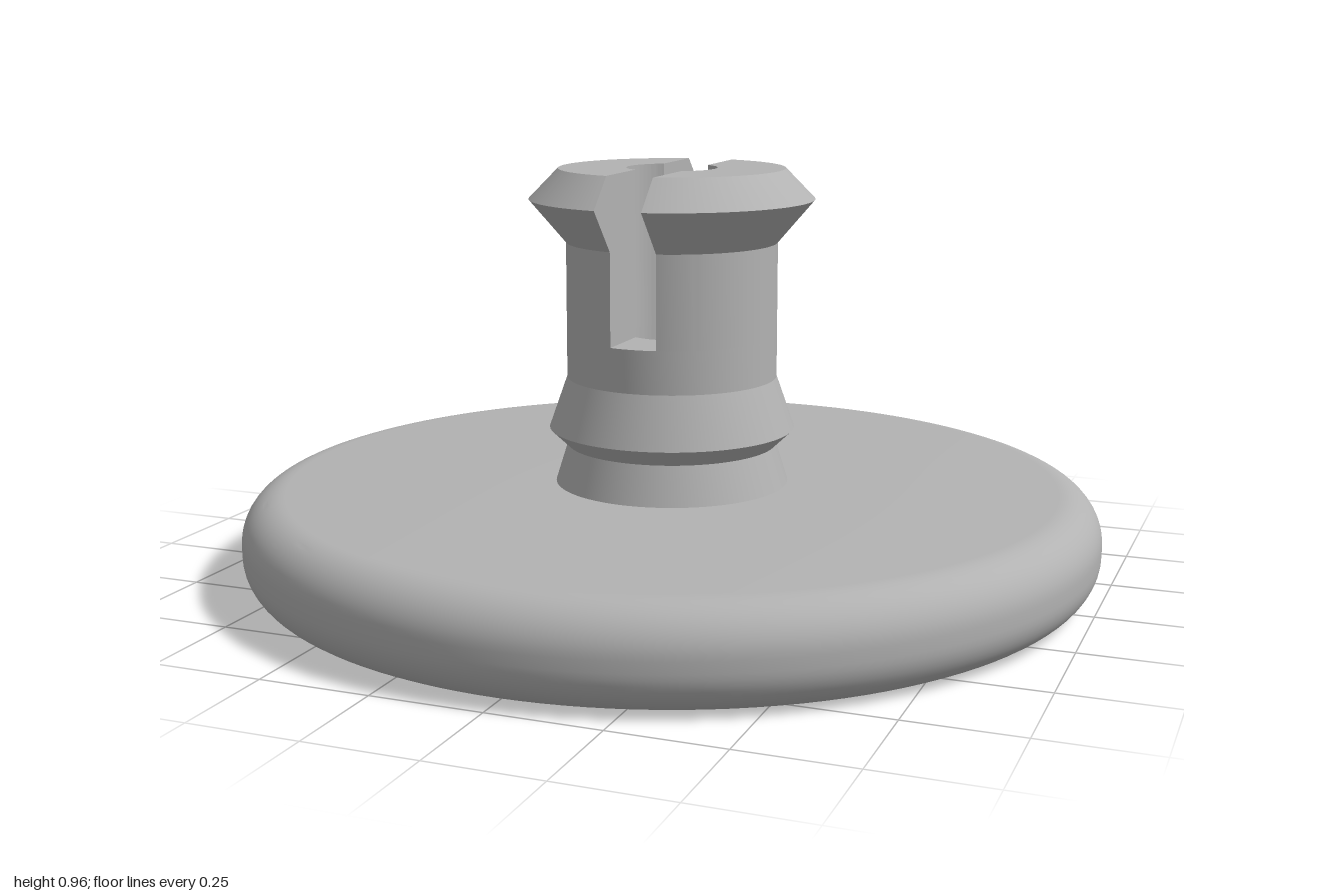
import * as THREE from 'three';
import { toCreasedNormals } from 'three/addons/utils/BufferGeometryUtils.js';

const BORE = 0.105, SLOT = 0.055, SLOT_Y = 0.575, DISC_TOP = 0.225;
const CREASE = 0.25;

const points = (list) => list.map(([r, y]) => new THREE.Vector2(r, y));

export function createModel() {
  const group = new THREE.Group();
  const grey = new THREE.MeshStandardMaterial({ color: 0xb2b2b2 });
  grey.name = 'plain grey';

  const add = (parent, geometry, name) => {
    const mesh = new THREE.Mesh(geometry, grey);
    mesh.name = name;
    parent.add(mesh);
  };
  const turned = (list) => toCreasedNormals(new THREE.LatheGeometry(points(list), 128), CREASE);

  // Base disc with a rounded rim and a through bore
  const R = 0.1, disc = [[BORE, 0]];
  for (const [y, start] of [[R, -Math.PI / 2], [DISC_TOP - R, 0]]) {
    for (let i = 0; i <= 12; i++) {
      const a = start + (i / 12) * Math.PI / 2;
      disc.push([1 - R + R * Math.cos(a), y + R * Math.sin(a)]);
    }
  }
  disc.push([BORE, DISC_TOP], [BORE, 0]);
  add(group, turned(disc), 'baseDisc');

  // Lower stem with flared foot, groove and collar, up to the slot floor
  add(group, turned([
    [0.273, DISC_TOP], [0.245, 0.315], [0.287, 0.355], [0.245, 0.475],
    [0.245, SLOT_Y], [BORE, SLOT_Y], [BORE, DISC_TOP],
  ]), 'lowerStem');

  // Two barbed prongs separated by the slot
  const prong = [
    [0.245, SLOT_Y], [0.245, 0.79], [0.33, 0.89], [0.262, 0.96], [BORE, 0.96], [BORE, SLOT_Y],
  ];
  const prongGeometry = new THREE.LatheGeometry(points(prong), 64, 0, Math.PI);
  const pos = prongGeometry.attributes.position;
  for (let i = 0; i < pos.count; i++) {
    // squeeze each half ring so that it ends on the slot plane
    const x = pos.getX(i), z = pos.getZ(i), r = Math.hypot(x, z);
    const a = (1 - 2 * Math.atan2(x, z) / Math.PI) * Math.acos(SLOT / r);
    pos.setX(i, r * Math.cos(a));
    pos.setZ(i, r * Math.sin(a));
  }
  const skin = toCreasedNormals(prongGeometry, CREASE);

  // Flat slot walls closing the prong ends
  const walls = [1, -1].map((side) => {
    const outline = points(prong.map(([r, y]) => [side * Math.sqrt(r * r - SLOT * SLOT), y]));
    return new THREE.ShapeGeometry(new THREE.Shape(outline)).rotateY(-Math.PI / 2).translate(SLOT, 0, 0);
  });

  for (const [name, turn] of [['leftProng', 0], ['rightProng', Math.PI]]) {
    const half = new THREE.Group();
    half.name = name;
    half.rotation.y = turn;
    add(half, skin, 'prongBody');
    walls.forEach((wall) => add(half, wall, 'slotWall'));
    group.add(half);
  }
  return group;
}
